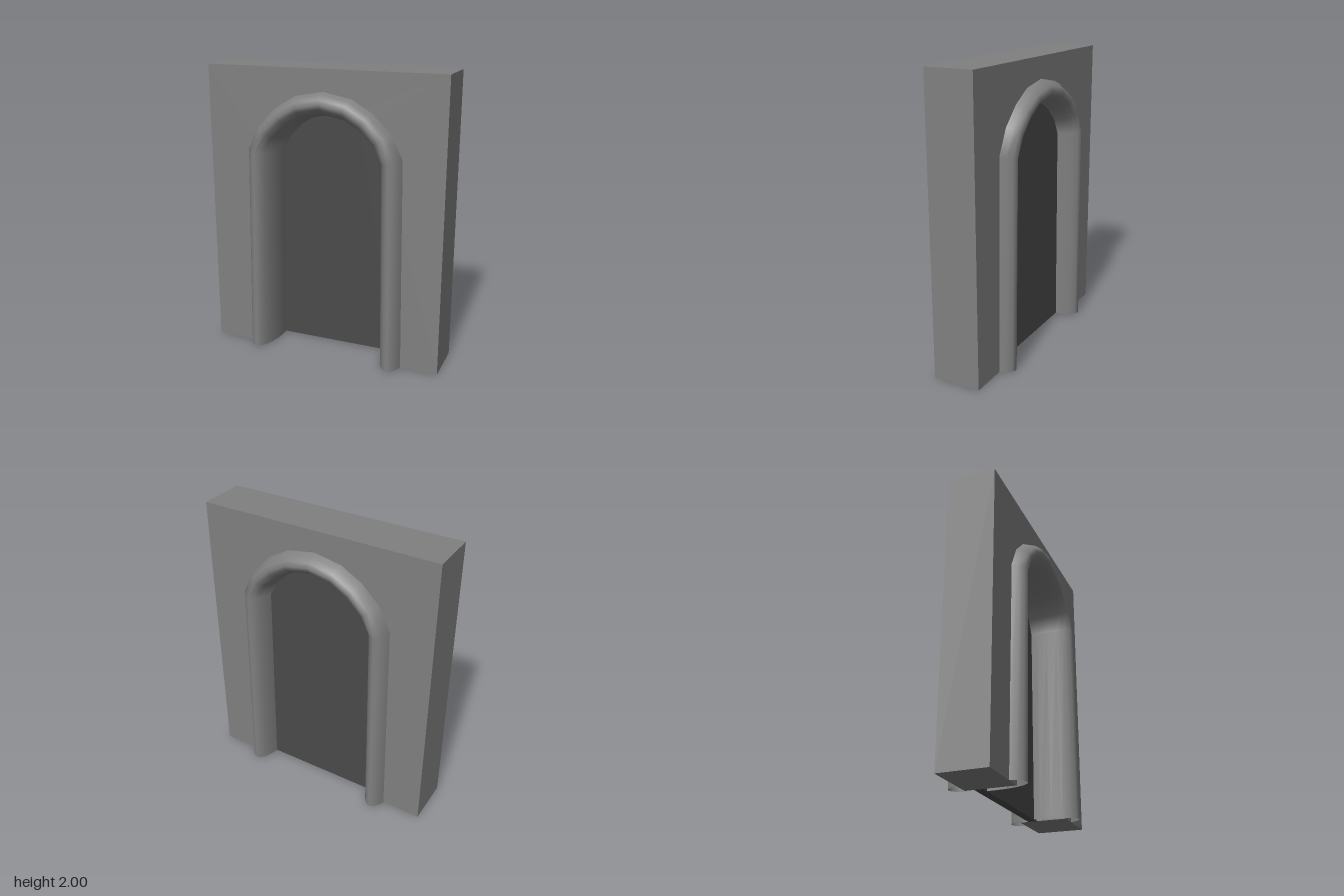
import * as THREE from 'three';

// Right half of the arch centre line, from the floor to the crown
const HALF = [[0.495, 0], [0.473, 1.434], [0.404, 1.571], [0.293, 1.678], [0.168, 1.75]];
const SHIFT = 0.007;

// Full centre line from right foot to left foot, with outward normals
function archPath() {
  const pts = [...HALF, [0, 1.781], ...HALF.map(([x, y]) => [-x, y]).reverse()]
    .map(([x, y]) => new THREE.Vector2(x + SHIFT, y));
  const last = pts.length - 1;
  return pts.map((p, i) => {
    if (i === 0 || i === last) return { p, n: new THREE.Vector2(i ? -1 : 1, 0) };
    const t = p.clone().sub(pts[i - 1]).normalize()
      .add(pts[i + 1].clone().sub(p).normalize()).normalize();
    return { p, n: new THREE.Vector2(t.y, -t.x) };
  });
}

// Arch outline moved outward (or inward when negative) by d
const offsetArch = (path, d) => path.map(({ p, n }) => p.clone().addScaledVector(n, d));

function slab(points, zMin, zMax) {
  const geo = new THREE.ExtrudeGeometry(new THREE.Shape(points), { depth: zMax - zMin, bevelEnabled: false });
  return geo.translate(0, 0, zMin);
}

// Elliptical section swept along the arch
function sweepTrim(path, a, b, sides) {
  const pos = [], idx = [];
  for (const { p, n } of path) {
    for (let j = 0; j <= sides; j++) {
      const t = (j / sides) * Math.PI * 2, r = a * Math.cos(t);
      pos.push(p.x + n.x * r, p.y + n.y * r, b * Math.sin(t));
    }
  }
  const row = sides + 1;
  for (let i = 0; i < path.length - 1; i++) {
    for (let j = 0; j < sides; j++) {
      const k = i * row + j;
      idx.push(k, k + row, k + 1, k + 1, k + row, k + row + 1);
    }
  }
  const geo = new THREE.BufferGeometry();
  geo.setAttribute('position', new THREE.Float32BufferAttribute(pos, 3));
  geo.setIndex(idx);
  geo.computeVertexNormals();
  // Share normals across the seam of each ring
  const nor = geo.attributes.normal, v = new THREE.Vector3(), w = new THREE.Vector3();
  for (let i = 0; i < path.length; i++) {
    const s = i * row, e = s + sides;
    v.fromBufferAttribute(nor, s).add(w.fromBufferAttribute(nor, e)).normalize();
    nor.setXYZ(s, v.x, v.y, v.z);
    nor.setXYZ(e, v.x, v.y, v.z);
  }
  return geo;
}

export function createModel() {
  const group = new THREE.Group();
  group.name = 'archedDoorway';
  const stone = new THREE.MeshStandardMaterial({ color: 0x808080 });
  const trimStone = new THREE.MeshStandardMaterial({ color: 0x808080, side: THREE.DoubleSide });
  const dark = new THREE.MeshStandardMaterial({ color: 0x4a4a4a });
  const add = (name, geo, mat) => {
    const mesh = new THREE.Mesh(geo, mat);
    mesh.name = name;
    group.add(mesh);
  };
  const path = archPath();

  // Wall block with the arched opening cut up from the floor
  const W = 0.833;
  const outline = [
    new THREE.Vector2(W, 0), new THREE.Vector2(W, 2),
    new THREE.Vector2(-W, 2), new THREE.Vector2(-W, 0),
    ...offsetArch(path, -0.045).reverse(),
  ];
  add('wall', slab(outline, -0.166, 0.166), stone);

  // Rounded trim lining the opening and standing proud on both faces
  add('archTrim', sweepTrim(path, 0.098, 0.252, 20), trimStone);

  // Dark door panel set back in the opening
  add('doorPanel', slab(offsetArch(path, -0.04), -0.105, -0.045), dark);

  return group;
}
